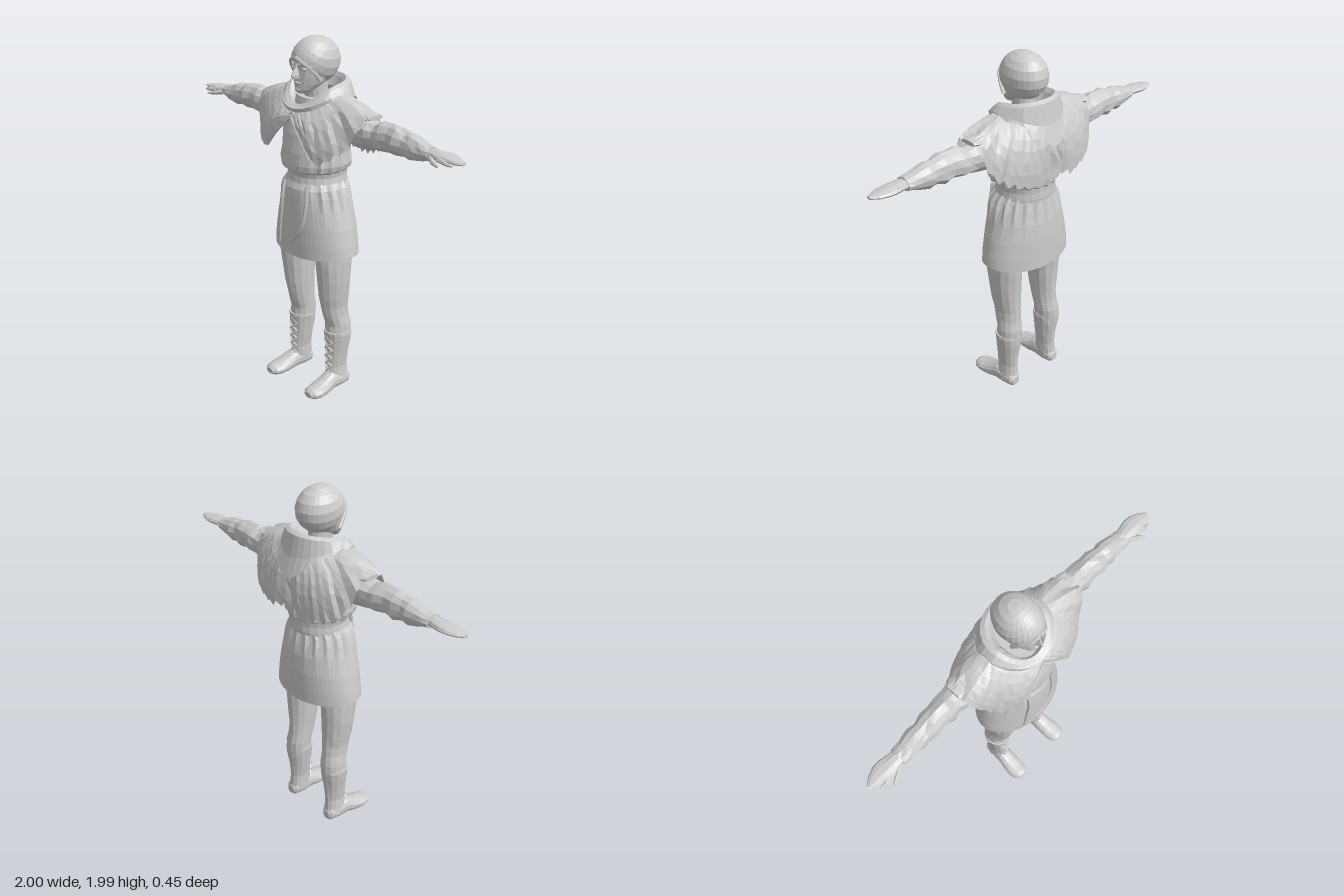
import * as THREE from 'three';

const cloth = new THREE.MeshStandardMaterial({ color: 0xcccccc, flatShading: true, side: THREE.DoubleSide });
const { sin, cos, max, min, PI, abs } = Math;
// seeded noise in -1..1
let seed = 7;
const noise = () => { seed = (seed * 16807) % 2147483647; return seed / 1073741823.5 - 1; };

// skin rows of points (each row a closed loop); cap ends if asked
function skin(rows, caps = true) {
  const n = rows[0].length, pos = rows.flat(2), idx = [];
  for (let i = 0; i < rows.length - 1; i++) for (let j = 0; j < n; j++) {
    const a = i * n + j, c = i * n + (j + 1) % n;
    idx.push(a, a + n, c, a + n, c + n, c);
  }
  if (caps) for (const end of [0, rows.length - 1]) {
    const r = rows[end], m = pos.length / 3;
    for (let k = 0; k < 3; k++) pos.push(r.reduce((s, p) => s + p[k], 0) / n);
    for (let j = 0; j < n; j++) {
      const a = end * n + j, b = end * n + (j + 1) % n;
      end ? idx.push(m, b, a) : idx.push(m, a, b);
    }
  }
  const g = new THREE.BufferGeometry();
  g.setAttribute('position', new THREE.Float32BufferAttribute(pos, 3));
  g.setIndex(idx);
  g.computeVertexNormals();
  return g;
}

// elliptical sections along an axis: [t, u, v, ru, rv]; u,v are x,z / z,y / y,x for axis y / x / z
const turn = { y: (u, t, v) => [u, t, v], x: (u, t, v) => [t, v, u], z: (u, t, v) => [v, u, t] };
function loft(sections, { axis = 'y', n = 14, rough = 0, mod = () => 1, caps = true } = {}) {
  return skin(sections.map(([t, u, v, ru, rv]) => Array.from({ length: n }, (_, j) => {
    const a = j / n * 2 * PI, k = mod(a, t) * (1 + rough * noise());
    return turn[axis](u + ru * k * cos(a), t, v + rv * k * sin(a));
  })), caps);
}

function mirrored(geo) {
  const g = geo.clone().scale(-1, 1, 1), i = g.index.array;
  for (let k = 0; k < i.length; k += 3) [i[k], i[k + 1]] = [i[k + 1], i[k]];
  g.computeVertexNormals();
  return g;
}

const tube = (pts, r, segs = 8) => new THREE.TubeGeometry(
  new THREE.CatmullRomCurve3(pts.map(p => new THREE.Vector3(...p))), segs, r, 5);

export function createModel() {
  seed = 7;
  const model = new THREE.Group();
  const add = (name, geo) => {
    const m = new THREE.Mesh(geo, cloth);
    m.name = name;
    model.add(m);
    return m;
  };
  const pair = (name, geo) => { add('left' + name, geo); add('right' + name, mirrored(geo)); };

  // head
  add('neck', loft([[1.6, 0, 0, .075, .07], [1.7, 0, .01, .06, .065], [1.78, 0, .02, .06, .07]]));
  add('face', loft([[1.718, 0, .105, .028, .03], [1.735, 0, .085, .05, .056], [1.765, 0, .055, .074, .086],
    [1.8, 0, .038, .09, .104], [1.84, 0, .03, .098, .112], [1.868, 0, .025, .1, .122],
    [1.91, 0, .018, .1, .125], [1.96, 0, .015, .07, .09]], { n: 18 }));
  add('nose', skin([[1.797, .018, .137, .168], [1.812, .017, .14, .178], [1.85, .01, .135, .156], [1.872, .012, .13, .15]]
    .map(([y, w, back, tip]) => [[w, y, back], [w * .3, y, tip], [-w * .3, y, tip], [-w, y, back]])));
  add('mouth', new THREE.SphereGeometry(1, 8, 6).scale(.027, .009, .016).translate(0, 1.773, .133));
  add('chin', new THREE.SphereGeometry(1, 8, 6).scale(.024, .018, .02).translate(0, 1.737, .126));
  pair('Brow', tube([[.014, 1.866, .145], [.045, 1.872, .136], [.076, 1.86, .107]], .008));
  pair('Eye', new THREE.SphereGeometry(1, 8, 6).scale(.019, .009, .012).translate(.04, 1.846, .128));

  // parted hair: each lock runs from a shaped hairline to the crown
  const hairline = a => {
    const s = sin(a);
    return s > 0 ? 1.775 + .125 * s ** 2.2 : 1.775 - .035 * s * s;
  };
  const hairRows = [];
  for (let i = 0; i <= 7; i++) hairRows.push(Array.from({ length: 28 }, (_, j) => {
    const a = j / 28 * 2 * PI, p0 = Math.asin(max(-.85, (hairline(a) - 1.875) / .125));
    const p = p0 + (PI / 2 - p0) * min(i / 7, .985), r = cos(p);
    return [.115 * r * cos(a), 1.875 + .125 * sin(p), .013 + .14 * r * sin(a)];
  }));
  add('hair', skin(hairRows));
  pair('Fringe', tube([[.002, 1.905, .15], [.04, 1.888, .145], [.078, 1.845, .107], [.096, 1.785, .06]], .011));

  // lowered hood, drooping to a point at the back
  const hoodRow = (rx, rz, y) => Array.from({ length: 32 }, (_, j) => {
    const a = j / 32 * 2 * PI, f = max(0, sin(a)), b = max(0, -sin(a));
    return [rx * cos(a) * (1 + .03 * noise()), y(f, b), rz(f, b) * sin(a)];
  });
  const rim = (f, b) => 1.768 - .105 * f * f + .022 * b;
  add('hood', skin([
    hoodRow(.205, (f, b) => .172 + .05 * b, (f, b) => 1.7 - .075 * f * f - .14 * b ** 5),
    hoodRow(.2, (f, b) => .178 + .008 * b, (f, b) => 1.725 - .08 * f * f - .06 * b * b),
    hoodRow(.175, () => .163, (f, b) => rim(f, b) - .012),
    hoodRow(.15, () => .142, rim),
    hoodRow(.128, () => .128, (f, b) => rim(f, b) - .02),
    hoodRow(.1, () => .105, (f, b) => rim(f, b) - .07),
  ], false));

  // shoulder cape with ragged hem: half hem from front centre to back centre, then mirrored
  const hem = new THREE.CatmullRomCurve3([[0, 1.6, .175], [.09, 1.51, .2], [.18, 1.415, .205], [.27, 1.42, .17],
    [.34, 1.49, .12], [.405, 1.625, .07], [.405, 1.63, -.06], [.35, 1.48, -.13], [.28, 1.41, -.175],
    [.19, 1.375, -.2], [.1, 1.37, -.212], [0, 1.4, -.185]].map(p => new THREE.Vector3(...p)));
  const half = 36, capeRows = [];
  const spine = Array.from({ length: half * 2 }, (_, j) => {
    const k = j <= half ? j : 2 * half - j, s = j <= half ? 1 : -1;
    const h = hem.getPoint(k / half), a = PI / 2 - k / half * PI;
    const ragged = k > 7 && k < half ? (k % 2 ? .014 : -.014) + .012 * noise() : 0;
    const top = [.165 * cos(a), 1.725 - .085 * max(0, sin(a)) ** 2 - .03 * max(0, -sin(a)), .15 * sin(a)];
    const notch = 1 - .06 * (abs(cos(a)) < .1 ? 1 : 0);
    return { s, top, end: [h.x, h.y + ragged, h.z * (1 + ragged)], mid: [
      (top[0] + (h.x - top[0]) * .72), top[1] + (h.y - top[1]) * .32, (top[2] + (h.z * 1.2 - top[2]) * .85) * notch] };
  });
  for (let i = 0; i <= 6; i++) {
    const t = 1 - i / 6;
    capeRows.push(spine.map(({ s, top, mid, end }) => top.map((v, k) => {
      const q = v * (1 - t) ** 2 + 2 * mid[k] * t * (1 - t) + end[k] * t * t + (i % 6 ? .003 * noise() : 0);
      return k ? q : q * s;
    })));
  }
  add('cape', skin(capeRows, false));
  pair('CapeFrontEdge', tube([[0, 1.6, .183], [.09, 1.515, .204], [.17, 1.42, .208]], .008));
  pair('ShoulderTab', loft([[.33, -.02, 1.655, .05, .02], [.38, -.02, 1.645, .055, .02], [.415, -.02, 1.645, .05, .012]],
    { axis: 'x', n: 8, rough: .1 }));

  // tunic, gathered at the sides and back
  const pleats = (depth, y0, y1) => (a, y) =>
    1 + depth * cos(20 * a) * max(0, 1 - abs(y - y0) / y1) * (sin(a) < .75 ? 1 : .15);
  add('tunicTop', loft([[1.3, 0, .01, .165, .16], [1.315, 0, .014, .188, .176], [1.345, 0, .014, .197, .178],
    [1.41, 0, .012, .19, .174], [1.5, 0, .005, .205, .16], [1.6, 0, 0, .23, .125], [1.69, 0, 0, .12, .1]],
  { n: 60, mod: pleats(.045, 1.34, .12) }));
  add('belt', loft([[1.225, 0, .005, .168, .158], [1.24, 0, .005, .167, .16], [1.275, 0, .003, .162, .156],
    [1.31, 0, .005, .168, .16]], { n: 24 }));
  const skirtGeo = loft([[.838, 0, .008, .277, .184], [.9, 0, .008, .27, .184], [1, 0, .008, .25, .183], [1.1, 0, .01, .222, .178],
    [1.17, 0, .014, .203, .17], [1.21, 0, .016, .187, .164], [1.245, 0, .01, .166, .152]],
  { n: 60, caps: false, mod: pleats(.05, 1.2, .12) });
  const sp = skirtGeo.attributes.position;
  for (let j = 0; j < 60; j++) sp.setY(j, .848 - .02 * abs(sin(j / 60 * 2 * PI)));
  add('skirt', skirtGeo);

  // hanging folds on the skirt front
  add('rightFold', tube([[-.08, 1.235, .165], [-.082, 1.15, .178], [-.1, 1, .176], [-.115, .87, .172]], .011));
  add('centreFold', tube([[.095, 1.235, .16], [.1, 1.12, .172], [.07, .99, .184], [.015, .925, .189], [-.04, .89, .188]], .011, 12));

  // arms in wrinkled sleeves, with hands
  pair('Sleeve', loft([[.2, -.01, 1.57, .07, .07], [.33, -.015, 1.552, .078, .08], [.4, -.015, 1.556, .078, .076],
    [.44, -.018, 1.558, .068, .07], [.48, -.015, 1.562, .075, .078], [.54, -.015, 1.568, .066, .073],
    [.59, -.012, 1.565, .07, .075], [.64, -.01, 1.563, .058, .062], [.68, -.01, 1.56, .062, .064],
    [.73, -.008, 1.557, .055, .052], [.77, -.006, 1.557, .053, .042], [.805, -.005, 1.558, .046, .032]],
  { axis: 'x', n: 12, rough: .085 }));
  pair('Hand', loft([[.78, -.005, 1.558, .036, .026], [.83, -.006, 1.56, .044, .024], [.88, -.008, 1.561, .052, .021],
    [.92, -.01, 1.56, .047, .017], [.965, -.005, 1.557, .036, .013], [1, 0, 1.556, .014, .007]], { axis: 'x', n: 10, rough: .03 }));
  pair('Thumb', loft([[.81, .02, 1.552, .02, .016], [.85, .045, 1.543, .018, .014], [.885, .06, 1.538, .013, .01],
    [.905, .07, 1.536, .006, .005]], { axis: 'x', n: 7 }));
  pair('Finger', loft([[.87, .03, 1.556, .018, .013], [.93, .043, 1.55, .011, .01], [.965, .04, 1.546, .005, .005]],
    { axis: 'x', n: 7 }));

  // legs, boots and feet
  pair('Leg', loft([[.34, .152, -.018, .068, .076], [.4, .15, -.02, .068, .075], [.46, .145, -.005, .064, .08],
    [.52, .143, .004, .065, .086], [.58, .146, .01, .072, .092], [.68, .149, .014, .081, .1], [.78, .15, .016, .085, .11],
    [.86, .148, .015, .087, .114], [1, .125, .012, .1, .13]], { n: 14, rough: .015 }));
  pair('Boot', loft([[.04, .16, -.015, .05, .066], [.09, .157, -.008, .048, .068], [.14, .155, -.008, .046, .065],
    [.22, .153, -.01, .056, .068], [.3, .153, -.015, .068, .076], [.345, .153, -.014, .073, .081],
    [.36, .153, -.014, .072, .08]], { n: 14, rough: .02 }));
  const foot = loft([[-.082, .04, .16, .025, .025], [-.065, .045, .16, .045, .042], [-.01, .05, .16, .055, .05],
    [.05, .055, .163, .058, .05], [.11, .038, .168, .046, .056], [.165, .032, .172, .036, .06],
    [.205, .03, .172, .03, .05], [.226, .03, .172, .016, .028]], { axis: 'z', n: 14 });
  const fp = foot.attributes.position;
  for (let i = 0; i < fp.count; i++) fp.setY(i, max(fp.getY(i), .005));
  pair('Foot', foot);

  // criss-cross lacing down the front of each boot
  for (let i = 0; i < 5; i++) {
    const y = .1 + i * .05, w = .022 + i * .003, z = .052 - (i > 3 ? .004 : 0);
    for (const s of [-1, 1])
      pair('Lace', tube([[.154 - s * w, y, z], [.154, y + .024, z + .013], [.154 + s * w, y + .048, z]], .0065, 4));
  }
  return model;
}
